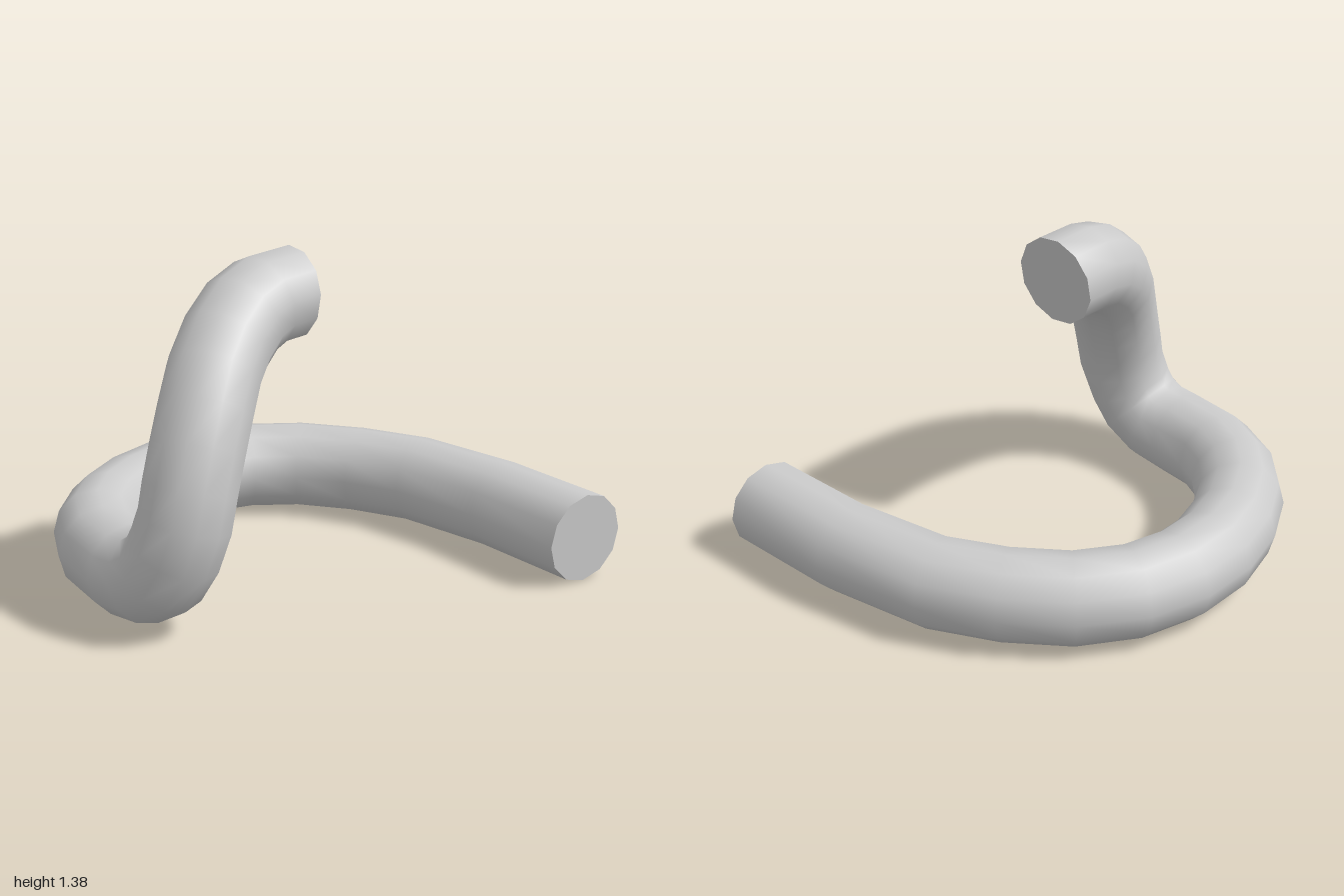
import * as THREE from 'three';

const SIDES = 12, RADIUS = 0.188;

// Curve whose rings fall exactly on its control points, with set end directions
class RodCurve extends THREE.CatmullRomCurve3 {
  getPointAt(u, target) { return this.getPoint(u, target); }
  getTangentAt(u, target = new THREE.Vector3()) {
    if (u === 0) return target.set(0.07, 0, -1).normalize();
    if (u === 1) return target.set(1, -0.08, 0).normalize();
    return this.getTangent(u, target);
  }
}

// Flat end cap, a fan over one ring of the tube
function capGeometry(tube, ring, centre, flip) {
  const position = tube.attributes.position;
  const corners = [];
  const corner = (j) => new THREE.Vector3().fromBufferAttribute(position, ring * (SIDES + 1) + j);
  for (let j = 0; j < SIDES; j++) {
    const a = corner(j), b = corner(j + 1);
    corners.push(centre, ...(flip ? [b, a] : [a, b]));
  }
  const geometry = new THREE.BufferGeometry().setFromPoints(corners);
  geometry.computeVertexNormals();
  return geometry;
}

export function createModel() {
  const group = new THREE.Group();
  group.name = 'bentRod';
  const material = new THREE.MeshStandardMaterial({ color: 0xcccccc });

  const ground = [ // flat hook: x, z
    [0.812, 0.888], [0.812, 0.39], [0.745, -0.05], [0.62, -0.31], [0.46, -0.525],
    [0.265, -0.665], [0.06, -0.725], [-0.155, -0.725], [-0.36, -0.67],
    [-0.545, -0.57], [-0.69, -0.43], [-0.78, -0.26], [-0.815, -0.03],
  ].map(([x, z]) => new THREE.Vector3(x, 0.188, z));
  const rising = [ // tight bend, then the arm curling up and over: x, y, z
    [-0.815, 0.205, 0.1], [-0.81, 0.265, 0.2], [-0.795, 0.36, 0.255],
    [-0.765, 0.48, 0.28], [-0.735, 0.6, 0.275], [-0.68, 0.74, 0.252],
    [-0.61, 0.87, 0.212], [-0.53, 0.985, 0.16], [-0.43, 1.08, 0.108],
    [-0.32, 1.155, 0.07], [-0.21, 1.19, 0.045], [-0.05, 1.198, 0.035],
  ].map((p) => new THREE.Vector3(...p));
  const points = [...ground, ...rising];
  const rings = points.length - 1;

  const tube = new THREE.TubeGeometry(new RodCurve(points), rings, RADIUS, SIDES);
  const add = (name, geometry) => {
    const mesh = new THREE.Mesh(geometry, material);
    mesh.name = name;
    group.add(mesh);
  };
  add('rod', tube);
  add('lowerEndCap', capGeometry(tube, 0, points[0], false));
  add('upperEndCap', capGeometry(tube, rings, points[rings], true));
  return group;
}
